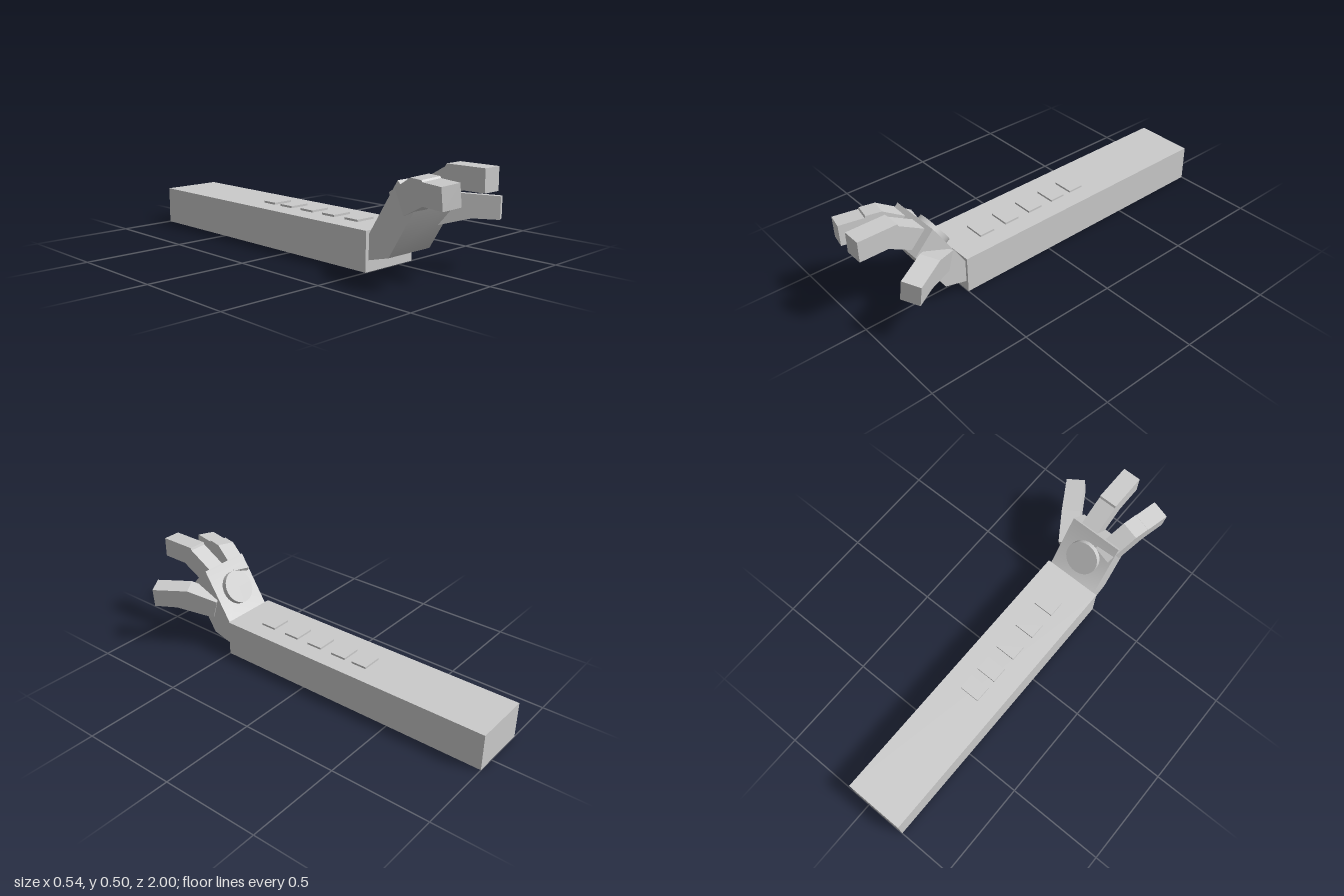
import * as THREE from 'three';
import { toCreasedNormals } from 'three/addons/utils/BufferGeometryUtils.js';

const material = new THREE.MeshStandardMaterial({ color: 0xcccccc });

// Side profile of [z, y] points, given a width along x and centred on it
function slab(profile, width) {
  const shape = new THREE.Shape(profile.map(([z, y]) => new THREE.Vector2(z, y)));
  const geo = new THREE.ExtrudeGeometry(shape, { depth: width, bevelEnabled: false });
  geo.translate(0, 0, -width / 2);
  geo.rotateY(-Math.PI / 2);
  return geo;
}

export function createModel() {
  const model = new THREE.Group();

  function add(name, geo, x, y, z) {
    const mesh = new THREE.Mesh(geo, material);
    mesh.name = name;
    mesh.position.set(x, y, z);
    model.add(mesh);
    return mesh;
  }

  // Forearm and the row of raised plates on top of it
  add('forearm', new THREE.BoxGeometry(0.305, 0.187, 1.5), -0.0625, 0.0935, -0.25);
  [-0.265, -0.14, 0.007, 0.155, 0.307].forEach((z, i) =>
    add(`plate${i + 1}`, new THREE.BoxGeometry(0.106, 0.03, 0.082), -0.056, 0.182, z));

  // Palm, bent up from the wrist, with a softened heel
  const palm = slab([
    [0.45, 0.04], [0.5, 0.053], [0.615, 0.083], [0.76, 0.32], [0.66, 0.425], [0.5, 0.17], [0.45, 0.15],
  ], 0.273);
  add('palm', toCreasedNormals(palm, 0.9), -0.0595, 0, 0);

  // Round disc on the back of the hand
  const disc = add('disc', new THREE.CylinderGeometry(0.086, 0.086, 0.05, 32), -0.06, 0.303, 0.58);
  disc.rotation.x = -1.008;

  // Bent digits: profiles start at the top of the tip and run back to the base
  const digits = [
    ['middleFinger', [-0.013, 0.497, 1], 0, 0,
      [[0, 0], [-0.195, 0], [-0.2, -0.012], [-0.36, -0.105], [-0.31, -0.195], [-0.14, -0.102], [0, -0.102]]],
    ['rightFinger', [-0.227, 0.445, 0.96], -0.23, 0.1,
      [[0, 0], [-0.12, 0.002], [-0.125, 0.01], [-0.2, 0.01], [-0.36, -0.075], [-0.31, -0.185], [-0.13, -0.1], [0, -0.1]]],
    ['thumb', [0.229, 0.335, 0.884], 0.53, -0.13,
      [[0, 0], [-0.185, 0.007], [-0.336, -0.05], [-0.31, -0.15], [-0.12, -0.101], [0, -0.101]]],
  ];
  for (const [name, tip, yaw, roll, profile] of digits) {
    const digit = add(name, slab(profile, 0.094), ...tip);
    digit.rotation.set(0, yaw, roll, 'YXZ');
  }

  return model;
}
